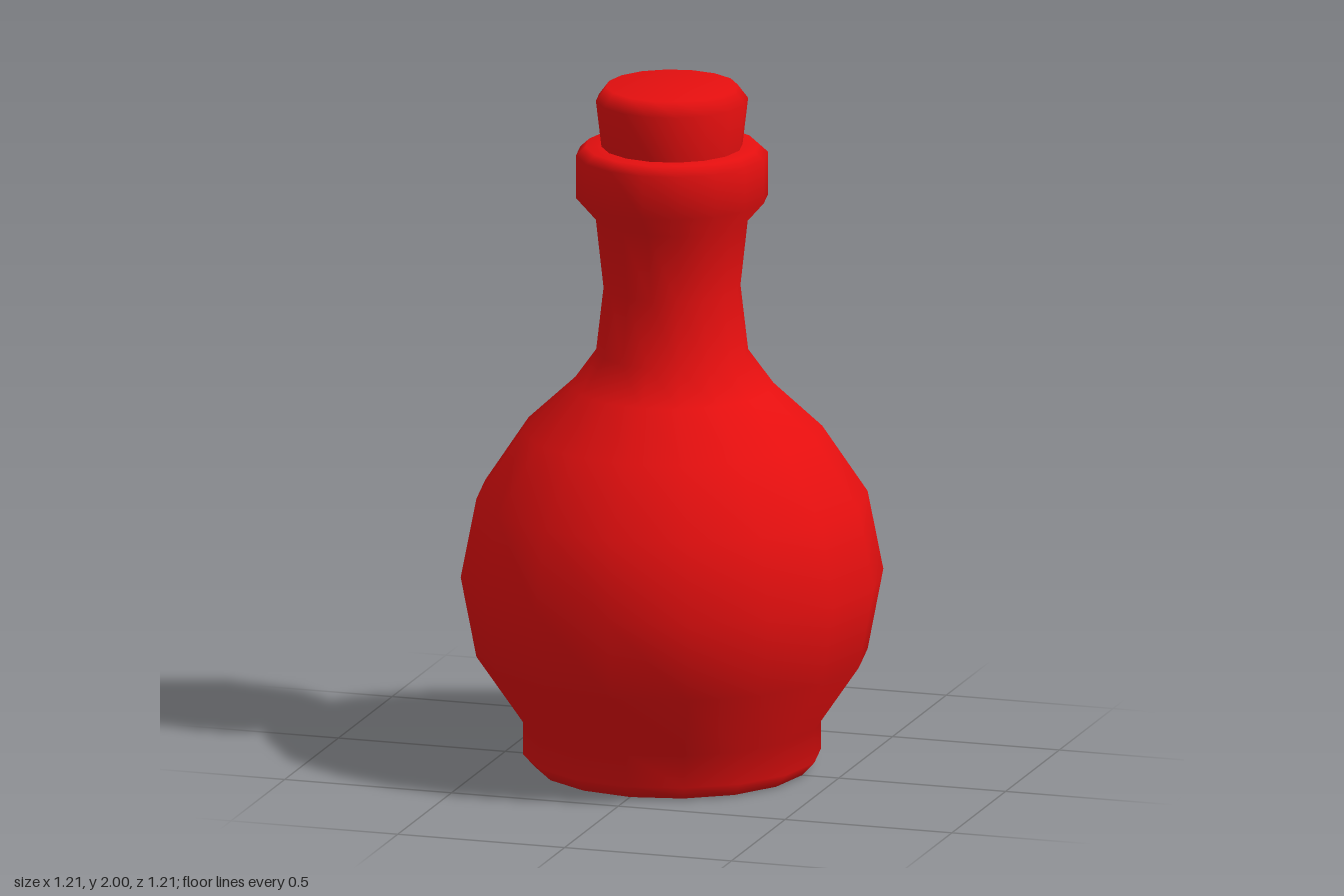
import * as THREE from 'three';

const SIDES = 16;
const red = new THREE.MeshStandardMaterial({ color: 0xe60f0f });

// Smooth turned part from [radius, height] pairs, listed bottom to top
function turned(name, profile) {
  const points = profile.map(([r, y]) => new THREE.Vector2(r, y));
  const mesh = new THREE.Mesh(new THREE.LatheGeometry(points, SIDES), red);
  mesh.name = name;
  return mesh;
}

export function createModel() {
  const group = new THREE.Group();
  group.name = 'bottle';

  // Foot, round belly, waisted neck and thick lip
  group.add(turned('flask', [
    [0, 0], [0.39, 0], [0.427, 0.04], [0.427, 0.135],
    [0.56, 0.33], [0.605, 0.565], [0.56, 0.795], [0.43, 0.99],
    [0.29, 1.12], [0.218, 1.22], [0.196, 1.41], [0.218, 1.61],
    [0.275, 1.675], [0.275, 1.8], [0.248, 1.825], [0.18, 1.825],
  ]));

  // Tapered stopper with a bevelled top, seated inside the lip
  group.add(turned('stopper', [
    [0, 1.79], [0.197, 1.79], [0.202, 1.825], [0.218, 1.96], [0.188, 2], [0, 2],
  ]));

  return group;
}
